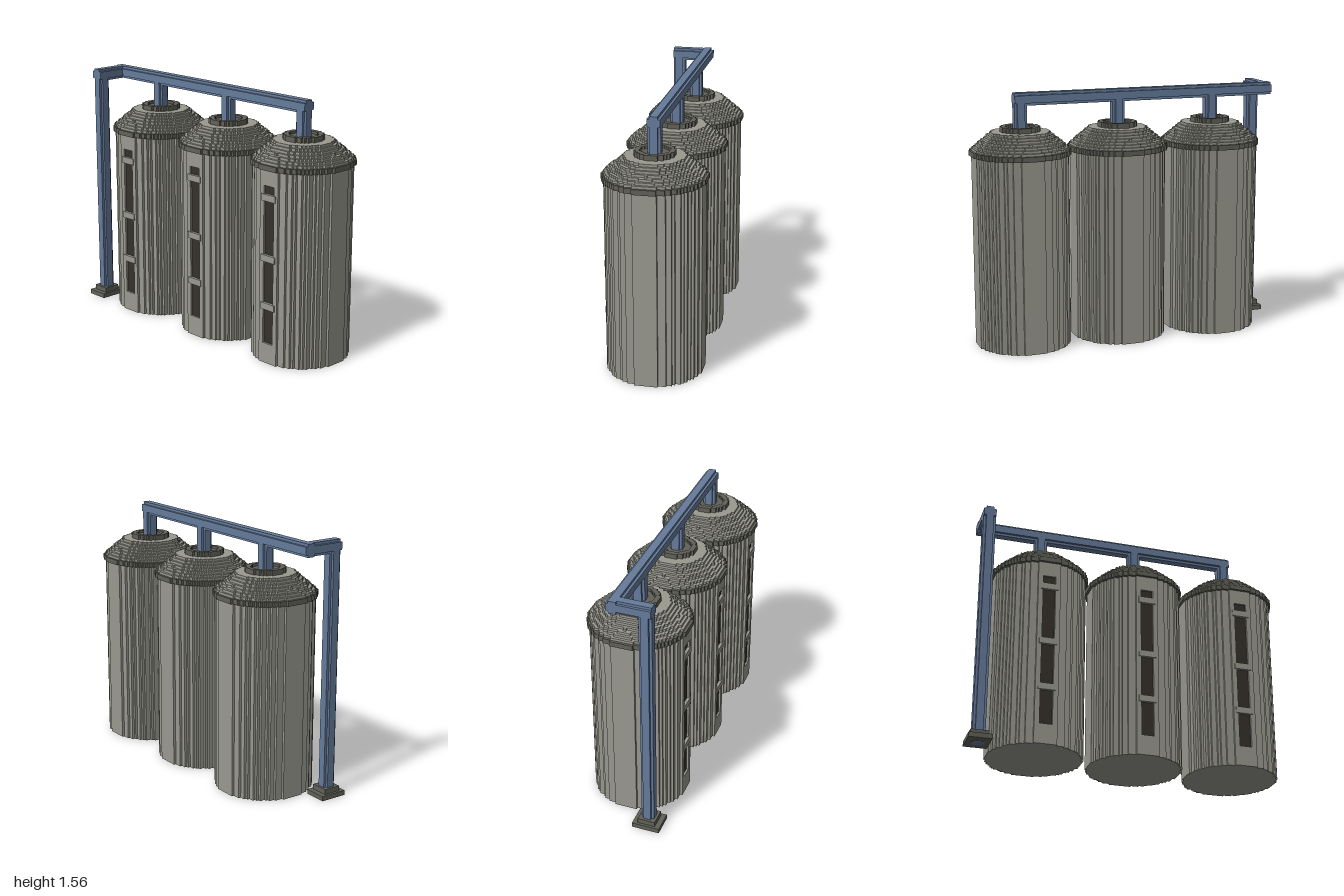
import * as THREE from 'three';

// All sizes below are in blocks; the model is 128 blocks long.
const BLOCK = 1 / 64;

const mat = (name, color) => {
  const m = new THREE.MeshStandardMaterial({ color });
  m.name = name;
  return m;
};

// Stepped outline of a block circle; notch cuts one block deep into the -x side.
function discPoints(r, notch = -1) {
  const n = Math.floor(r);
  const half = (k) => Math.floor(Math.sqrt(r * r - k * k)) + 0.5;
  const pts = [];
  const add = (x, y) => pts.push(new THREE.Vector2(x, y));
  for (let k = -n; k <= n; k++) {
    add(half(k), k - 0.5);
    add(half(k), k + 0.5);
  }
  for (let k = n; k >= -n; k--) {
    const x = -half(k) + (Math.abs(k) <= notch ? 1 : 0);
    add(x, k + 0.5);
    add(x, k - 0.5);
  }
  return pts.filter((p, i) => !i || !p.equals(pts[i - 1]));
}

// Upright stepped cylinder from y0 to y1, optionally notched or hollow.
function disc(r, y0, y1, { notch = -1, hole = 0 } = {}) {
  const shape = new THREE.Shape(discPoints(r, notch));
  if (hole) shape.holes.push(new THREE.Path(discPoints(hole)));
  return new THREE.ExtrudeGeometry(shape, { depth: y1 - y0, bevelEnabled: false })
    .rotateX(-Math.PI / 2).translate(0, y0, 0);
}

function box(w, h, d, x, y, z) {
  return new THREE.BoxGeometry(w, h, d).translate(x, y, z);
}

export function createModel() {
  const wall = mat('wall grey', 0x9a9a90);
  const trim = mat('dark trim', 0x62625a);
  const blue = mat('pipe blue', 0x667c9c);
  const black = mat('ladder recess', 0x35312b);

  const model = new THREE.Group();
  model.name = 'silos';
  const put = (parent, name, geometry, material) => {
    const mesh = new THREE.Mesh(geometry.scale(BLOCK, BLOCK, BLOCK), material);
    mesh.name = name;
    parent.add(mesh);
    return mesh;
  };

  const siloZ = [44.5, 4.5, -35.5];
  const postX = -12, postZ = -59.5, pipeY = 97.5;

  for (const z of siloZ) {
    const silo = new THREE.Group();
    silo.name = 'silo';
    silo.position.z = z * BLOCK;
    model.add(silo);

    // Body, with a ladder channel cut in one side
    put(silo, 'bodyBase', disc(18.5, 0, 8), wall);
    put(silo, 'body', disc(18.5, 8, 70, { notch: 2 }), wall);
    put(silo, 'bodyTop', disc(18.5, 70, 76), wall);
    put(silo, 'ladderRecess', box(0.4, 62, 5, -17.5, 39, 0), black);
    for (const y of [23, 42, 65.5])
      put(silo, 'ladderBar', box(1.4, 2.6, 7, -18.2, y, 0), wall);

    // Rim and stepped cone roof
    put(silo, 'rim', disc(19.5, 76, 78), trim);
    for (let i = 0; i < 7; i++)
      put(silo, 'roofStep', disc(18.5 - (i * 7) / 6, 78 + i, 79 + i), wall);

    // Cap with a shallow sunken centre
    put(silo, 'cap', disc(7.5, 85, 86), trim);
    put(silo, 'capRing', disc(7.5, 86, 87, { hole: 5.5 }), trim);
    put(silo, 'riser', disc(2.5, 86, 96), blue);
  }

  // Long overhead pipe
  const z0 = postZ - 2.5, z1 = siloZ[0] + 2.5;
  put(model, 'mainPipe',
    disc(2.5, z0, z1).rotateX(Math.PI / 2).translate(0, pipeY, 0), blue);

  // Side arm and down pipe
  put(model, 'sideArm',
    disc(2.5, postX - 2.5, 1).rotateZ(-Math.PI / 2).translate(0, pipeY, postZ), blue);
  put(model, 'downPipe', disc(2.5, 0, 99).translate(postX, 0, postZ), blue);

  // Stepped foot around the down pipe
  put(model, 'footBase', box(11, 1.9, 9, postX, 1.05, postZ), trim);
  put(model, 'footCollar', box(7, 2, 7, postX, 3, postZ), trim);

  return model;
}
